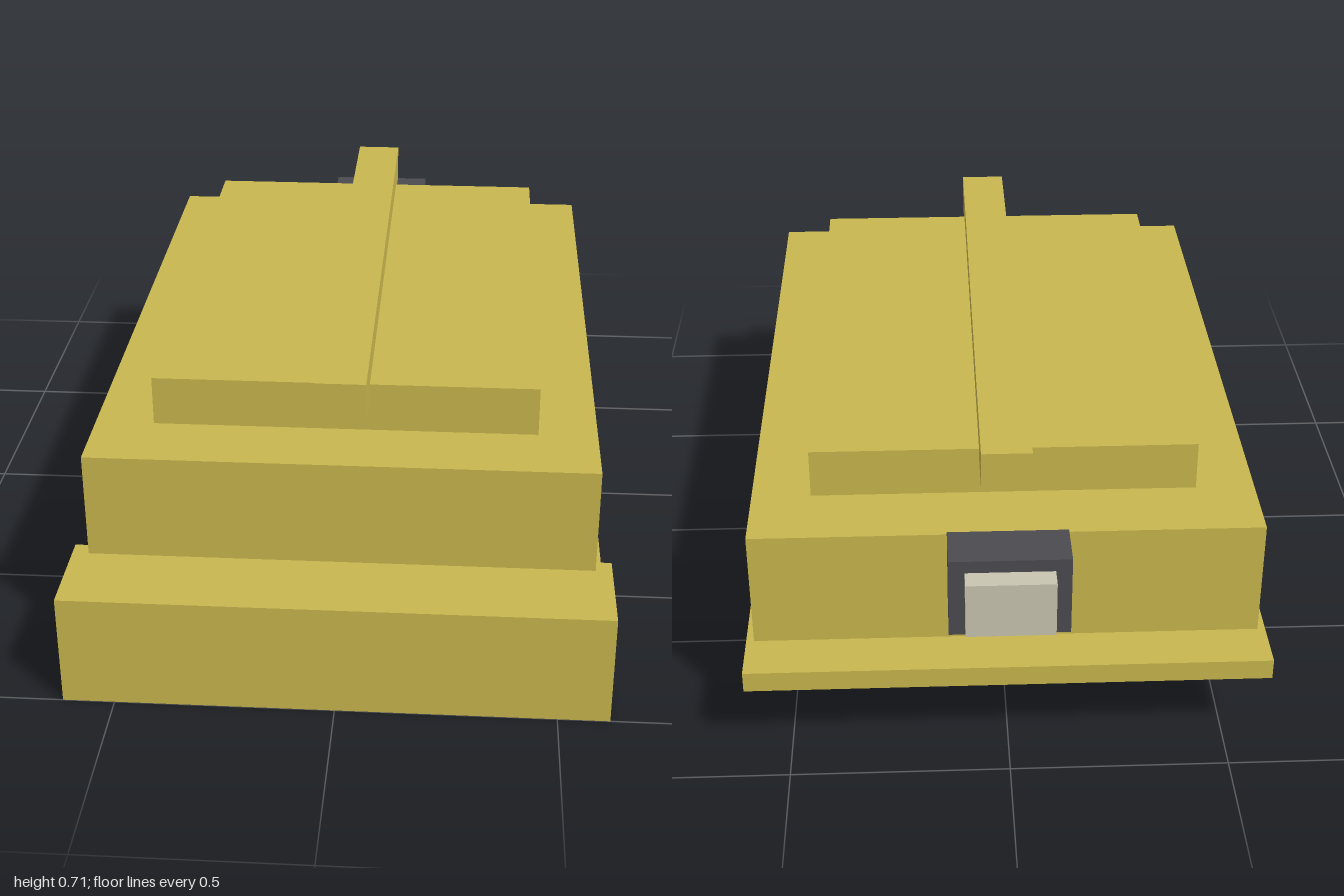
import * as THREE from 'three';

const material = (name, color) => Object.assign(new THREE.MeshStandardMaterial({ color }), { name });

export function createModel() {
  const group = new THREE.Group();
  const ochre = material('ochre', 0xc8b64e);
  const charcoal = material('charcoal', 0x4a4a50);
  const paleGrey = material('paleGrey', 0xc8c4b0);

  // Box centred on x, given its half width and its y and z extents
  const block = (name, mat, halfWidth, y0, y1, z0, z1) => {
    const mesh = new THREE.Mesh(new THREE.BoxGeometry(halfWidth * 2, y1 - y0, z1 - z0), mat);
    mesh.position.set(0, (y0 + y1) / 2, (z0 + z1) / 2);
    mesh.name = name;
    group.add(mesh);
  };

  // Stepped housing
  block('frontBumper', ochre, 0.618, 0, 0.27, 0.77, 1);
  block('basePlate', ochre, 0.598, 0.19, 0.24, -0.933, 0.8);
  block('body', ochre, 0.58, 0.24, 0.523, -0.815, 0.805);
  block('raisedDeck', ochre, 0.444, 0.523, 0.64, -0.645, 0.635);
  block('topRail', ochre, 0.057, 0.612, 0.707, -0.777, 0.768);

  // Rear lamp, set slightly clear of the body
  block('lampHousing', charcoal, 0.135, 0.35, 0.545, -0.952, -0.838);
  block('lampLens', paleGrey, 0.099, 0.38, 0.515, -1, -0.952);

  return group;
}
